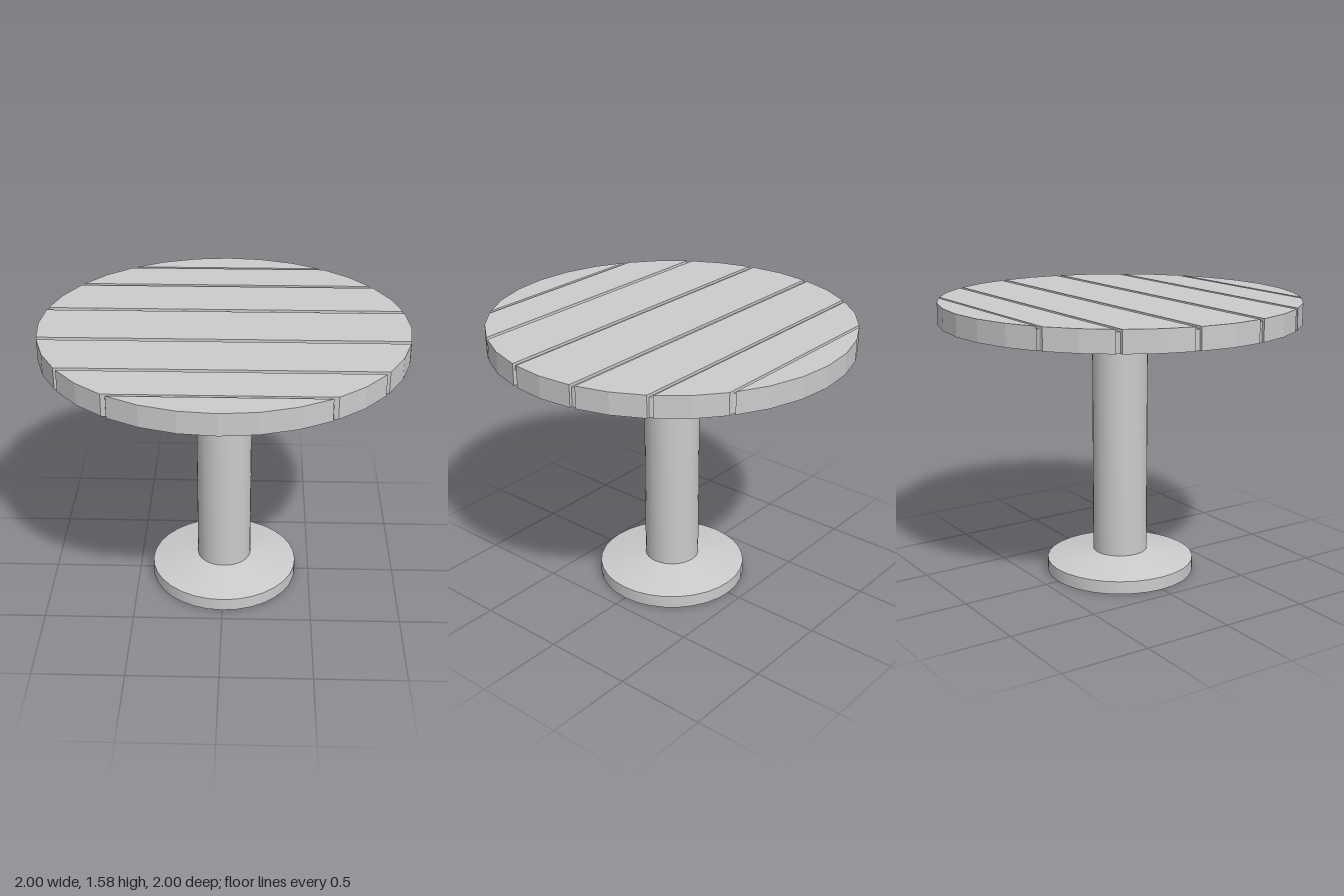
import * as THREE from 'three';
import { toCreasedNormals } from 'three/addons/utils/BufferGeometryUtils.js';

const SIDES = 32;
const TOP = 1.58, UNDER = 1.46;

// half width in x of a regular polygon with a corner at (0, r), at depth z
function halfWidth(z, r) {
  const step = (2 * Math.PI) / SIDES;
  const a = Math.acos(THREE.MathUtils.clamp(z / r, -1, 1));
  const i = Math.min(Math.floor(a / step), SIDES / 2 - 1);
  const za = r * Math.cos(i * step), zb = r * Math.cos((i + 1) * step);
  const t = (za - z) / (za - zb);
  return r * THREE.MathUtils.lerp(Math.sin(i * step), Math.sin((i + 1) * step), t);
}

// slice of the round top between two depths, optionally limited in x
function slice(z0, z1, r, y0, y1, xMin = -2, xMax = 2) {
  const zs = [z0];
  for (let i = SIDES / 2; i >= 0; i--) {
    const z = r * Math.cos((i * 2 * Math.PI) / SIDES);
    if (z > z0 + 1e-4 && z < z1 - 1e-4) zs.push(z);
  }
  zs.push(z1);
  const right = zs.map(z => new THREE.Vector2(Math.min(halfWidth(z, r), xMax), z));
  const left = zs.map(z => new THREE.Vector2(Math.max(-halfWidth(z, r), xMin), z)).reverse();
  const geo = new THREE.ExtrudeGeometry(new THREE.Shape([...right, ...left]), { depth: y1 - y0, bevelEnabled: false });
  return geo.rotateX(Math.PI / 2).translate(0, y1, 0);
}

export function createModel() {
  const group = new THREE.Group();
  const material = new THREE.MeshStandardMaterial({ color: 0xcccccc });
  const add = (name, geo, parent = group) => {
    const mesh = new THREE.Mesh(geo, material);
    mesh.name = name;
    parent.add(mesh);
  };

  // round top of seven planks, with recessed strips in the gaps
  const tabletop = new THREE.Group();
  tabletop.name = 'tabletop';
  group.add(tabletop);
  const gaps = [[-0.84, -0.823], [-0.57, -0.545], [-0.214, -0.184], [0.178, 0.208], [0.54, 0.566], [0.818, 0.837]];
  let start = -1;
  [...gaps, [1, 1]].forEach(([z0, z1], i) => {
    add('plank' + (i + 1), slice(start, z0, 1, UNDER, TOP), tabletop);
    start = z1;
  });
  gaps.forEach(([z0, z1], i) => {
    const slotted = i === 3;
    add('gapStrip' + (i + 1), slice(z0, z1, 0.985, UNDER, TOP - 0.015, -2, slotted ? 0.42 : 2), tabletop);
    // one gap is open on the underside, beside the support
    if (slotted) add('slotRoof', slice(z0, z1, 0.985, TOP - 0.04, TOP - 0.015, 0.42, 2), tabletop);
  });

  // turned pedestal: foot, column and flared support
  const turned = points => toCreasedNormals(
    new THREE.LatheGeometry(points.map(p => new THREE.Vector2(...p)), SIDES), 0.21);
  add('foot', turned([[0, 0], [0.42, 0], [0.42, 0.073], [0.155, 0.123]]));
  add('column', turned([[0.155, 0.123], [0.155, 1.35]]));
  add('topSupport', turned([[0.155, 1.35], [0.41, 1.39], [0.48, UNDER]]));
  return group;
}
